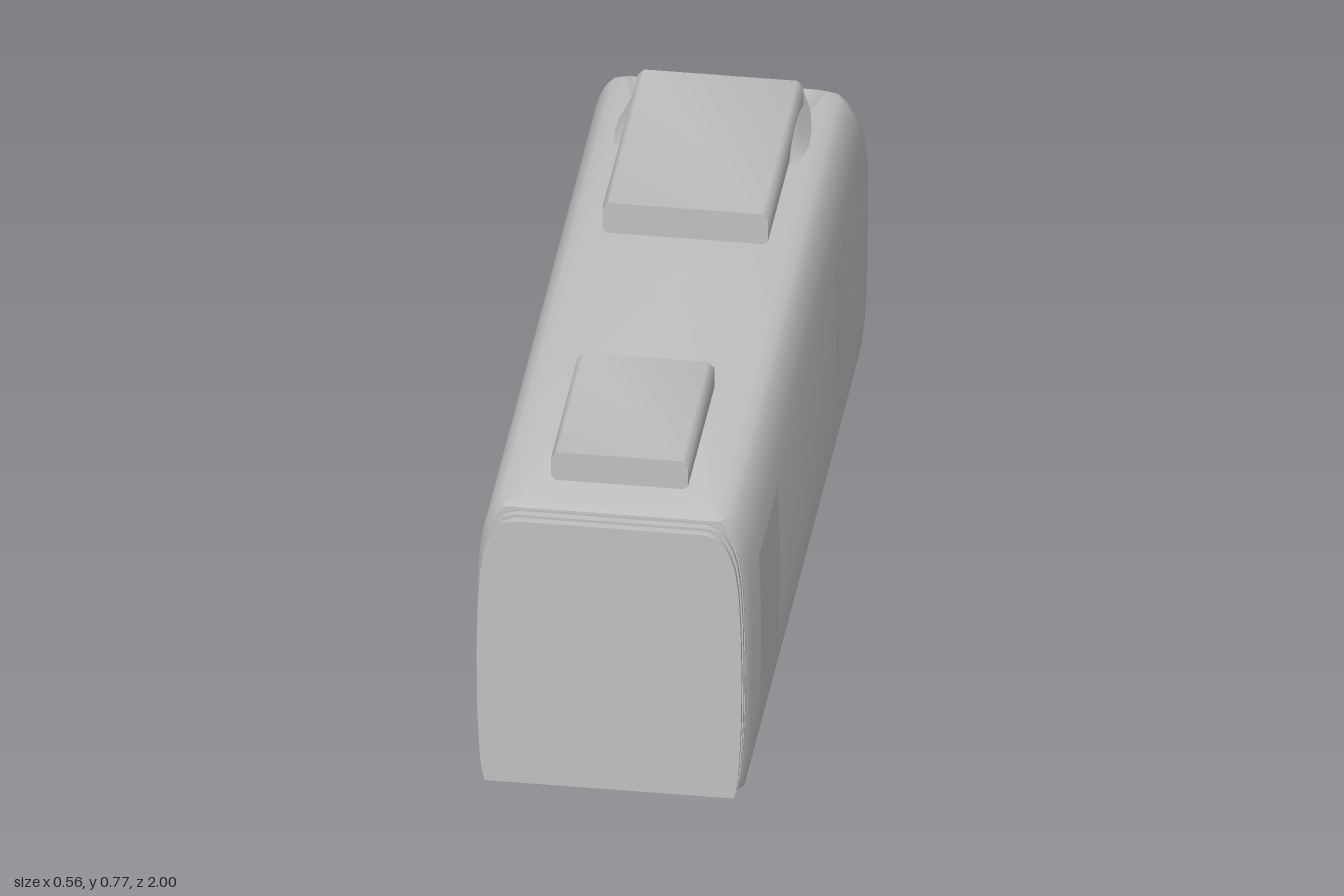
import * as THREE from 'three';
import { toCreasedNormals } from 'three/addons/utils/BufferGeometryUtils.js';

// Hull table: height, half width, z of the nose tip at that height
const LEVELS = [
  [0.065, 0.262, -0.96], [0.08, 0.266, -0.985], [0.12, 0.271, -1.0], [0.19, 0.275, -0.998],
  [0.25, 0.277, -0.98], [0.37, 0.278, -0.93], [0.48, 0.276, -0.87], [0.56, 0.272, -0.82],
  [0.595, 0.268, -0.785], [0.62, 0.264, -0.735], [0.65, 0.255, -0.712], [0.675, 0.243, -0.702],
  [0.692, 0.228, -0.695], [0.70, 0.205, -0.685],
];
const NOSE_START = -0.675;

function hullAt(y) {
  let i = 0;
  while (i < LEVELS.length - 2 && y > LEVELS[i + 1][0]) i++;
  const a = LEVELS[i], b = LEVELS[i + 1], f = (y - a[0]) / (b[0] - a[0]);
  const power = THREE.MathUtils.lerp(2.6, 5, THREE.MathUtils.smoothstep(y, 0.3, 0.6));
  return { w: a[1] + (b[1] - a[1]) * f, depth: NOSE_START - (a[2] + (b[2] - a[2]) * f), power };
}

// Point on the nose: t runs from 0 (left side) to PI (right side)
function nosePoint(y, t, out = 0) {
  const { w, depth, power } = hullAt(y), c = Math.cos(t), s = Math.max(0, Math.sin(t));
  return [Math.sign(c) * (w + out) * Math.abs(c) ** (2 / power), y,
    NOSE_START - (depth + out) * s ** (2 / power)];
}

// Surface through rows of points
function grid(rows, crease = 0.65) {
  const n = rows[0].length, index = [];
  for (let i = 0; i < rows.length - 1; i++) {
    for (let j = 0; j < n - 1; j++) {
      const a = i * n + j, d = a + n;
      index.push(a, a + 1, d + 1, a, d + 1, d);
    }
  }
  const g = new THREE.BufferGeometry();
  g.setAttribute('position', new THREE.Float32BufferAttribute(rows.flat(2), 3));
  g.setIndex(index);
  return toCreasedNormals(g, crease);
}

const steps = (a, b, n) => Array.from({ length: n + 1 }, (_, i) => a + (b - a) * i / n);

function bodyGeometry() {
  const rings = LEVELS.map(([y, w]) => {
    const rear = y > 0.695 ? 0.93 : 0.95;
    const ring = [[w - 0.012, y, rear], [w, y, rear - 0.02],
      ...steps(0, Math.PI, 56).map(t => nosePoint(y, t)),
      [-w, y, rear - 0.02], [-w + 0.012, y, rear]];
    return [...ring, ring[0]];
  });
  const centre = y => rings[0].map(() => [0, y, 0]);
  return grid([centre(0.065), ...rings, centre(0.70)]);
}

// Windscreen follows the nose between two slanted side edges
function screenGeometry() {
  const rows = steps(0.25, 0.595, 16).map(y => {
    const { depth, power } = hullAt(y);
    const edgeZ = -0.87 + 0.1 * (y - 0.25) / 0.345;
    const t0 = Math.asin(Math.min(1, ((NOSE_START - edgeZ) / depth) ** (power / 2)));
    return steps(t0, Math.PI - t0, 40).map(t => nosePoint(y, t, 0.004));
  });
  return grid(rows, 1);
}

// Door panel follows the curved side wall
function doorGeometry(side, zBack, zFront) {
  const zs = side > 0 ? [zBack, zFront] : [zFront, zBack];
  return grid(steps(0.1, 0.53, 8).map(y => zs.map(z => [side * (hullAt(y).w + 0.002), y, z])), 1);
}

// Body cross-section, shrunk by an inset
function sectionShape(inset) {
  const half = LEVELS.map(([y, w]) => [w - inset, 0.383 + (y - 0.383) * (1 - inset / 0.32)]);
  const pts = [...half, ...half.slice().reverse().map(([x, y]) => [-x, y])];
  return new THREE.Shape(pts.map(([x, y]) => new THREE.Vector2(x, y)));
}

// Roof box with bevelled long edges
function roofBox(w, top, z0, z1) {
  const c = 0.013, b = 0.695;
  const pts = [[-w + c, b], [w - c, b], [w, b + c], [w, top - c], [w - c, top],
    [-w + c, top], [-w, top - c], [-w, b + c]];
  const shape = new THREE.Shape(pts.map(([x, y]) => new THREE.Vector2(x, y)));
  const g = new THREE.ExtrudeGeometry(shape, { depth: z1 - z0, bevelEnabled: false });
  return toCreasedNormals(g.translate(0, 0, z0), 0.9);
}

export function createModel() {
  const model = new THREE.Group();
  const grey = new THREE.MeshStandardMaterial({ color: 0xc0c0c0 });
  grey.name = 'lightGrey';
  const glass = new THREE.MeshStandardMaterial({ color: 0x3c454b });
  glass.name = 'darkGlass';
  const add = (name, geometry, material = grey, parent = model) => {
    const mesh = new THREE.Mesh(geometry, material);
    mesh.name = name;
    parent.add(mesh);
    return mesh;
  };

  add('body', bodyGeometry());
  add('windscreen', screenGeometry(), glass);

  // Gangway bellows at the flat end
  const bellows = new THREE.Group();
  bellows.name = 'gangwayBellows';
  model.add(bellows);
  [0.010, 0.016, 0.010, 0.016, 0.011].forEach((inset, i) => {
    const g = new THREE.ExtrudeGeometry(sectionShape(inset), { depth: 0.012, bevelEnabled: false });
    add('bellowsRib', toCreasedNormals(g.translate(0, 0, 0.94 + i * 0.012), 0.6), grey, bellows);
  });

  // Roof equipment and its fairing
  add('frontRoofUnit', roofBox(0.167, 0.77, -0.6, -0.09));
  add('rearRoofUnit', roofBox(0.138, 0.765, 0.47, 0.85));
  const fairing = [[-0.68, 0.16, 0.14, 0.70], [-0.6, 0.185, 0.16, 0.725], [-0.53, 0.197, 0.165, 0.738],
    [-0.47, 0.2, 0.166, 0.742], [-0.42, 0.192, 0.165, 0.73], [-0.38, 0.17, 0.16, 0.70]];
  add('roofFairing', grid(fairing.map(([z, base, top, h]) =>
    [[base, 0.695, z], [top, h, z], [-top, h, z], [-base, 0.695, z]]), 0.5));

  // Doors on both sides
  for (const side of [1, -1]) {
    add('rearDoor', doorGeometry(side, 0.81, 0.54));
    add('frontDoor', doorGeometry(side, -0.26, -0.43));
  }

  // Headlamp clusters
  for (const side of [1, -1]) {
    for (let i = 0; i < 3; i++) {
      const t = Math.PI / 2 - side * (0.38 + i * 0.075);
      const lamp = add('headlamp', new THREE.SphereGeometry(0.011, 14, 10));
      lamp.position.set(...nosePoint(0.195 + (i === 1 ? 0.008 : 0), t));
    }
  }

  // Twin bar across the top of the windscreen
  for (const [y, z] of [[0.578, -0.81], [0.566, -0.82]]) {
    const bar = add('windscreenBar', new THREE.CylinderGeometry(0.006, 0.006, 0.28, 10));
    bar.rotation.z = Math.PI / 2;
    bar.position.set(0, y, z);
  }

  // Wheels with a stepped flange, and axles
  const rim = [[0, -0.013], [0.055, -0.013], [0.058, 0.003], [0.064, 0.005], [0.066, 0.009],
    [0.064, 0.013], [0, 0.013]].map(([r, y]) => new THREE.Vector2(r, y));
  const wheelGeometry = toCreasedNormals(new THREE.LatheGeometry(rim, 32), 0.6);
  for (const z of [0.355, -0.025]) {
    for (const side of [1, -1]) {
      const wheel = add('wheel', wheelGeometry);
      wheel.rotation.z = side * Math.PI / 2;
      wheel.position.set(side * 0.158, 0.066, z);
    }
    const axle = add('axle', new THREE.CylinderGeometry(0.009, 0.009, 0.3, 14));
    axle.rotation.z = Math.PI / 2;
    axle.position.set(0, 0.066, z);
  }
  return model;
}
